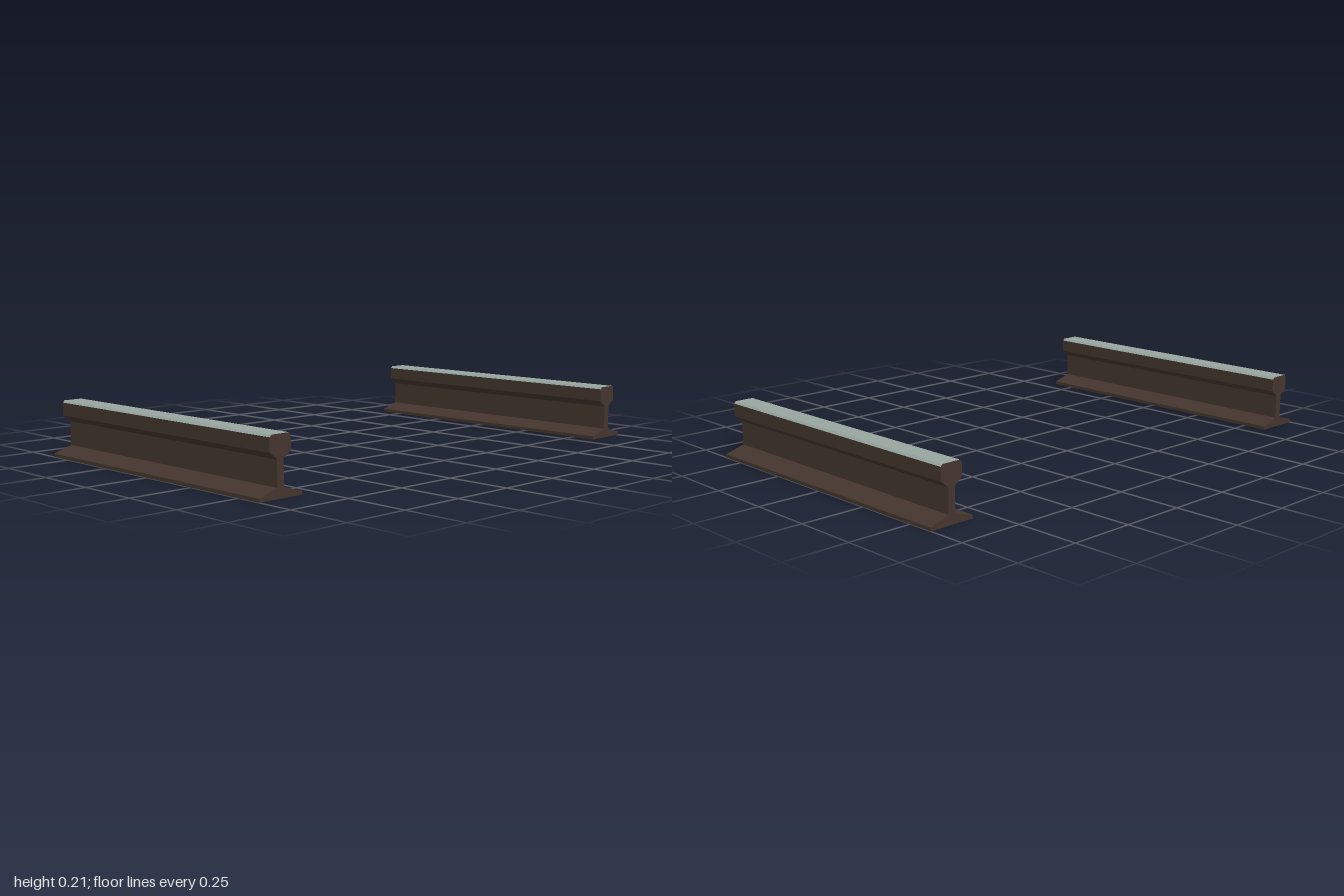
import * as THREE from 'three';

const LENGTH = 1.2;
const RAIL_Z = 0.908;

// Right half of the rail cross-section, from the foot up to the crown
const RIGHT_SIDE = [
  [0.092, 0], [0.092, 0.013], [0.014, 0.037],
  [0.014, 0.13], [0.045, 0.155], [0.045, 0.205], [0.037, 0.213],
];
const CROWN_EDGES = 3;

function railGeometry() {
  const leftSide = RIGHT_SIDE.map(([u, v]) => [-u, v]).reverse();
  // Start at the right crown chamfer, so the crown is the first three edges
  const outline = [...RIGHT_SIDE.slice(-2), ...leftSide, ...RIGHT_SIDE.slice(0, -2)];
  const shape = new THREE.Shape(outline.map(([u, v]) => new THREE.Vector2(u, v)));
  const geometry = new THREE.ExtrudeGeometry(shape, { depth: LENGTH, bevelEnabled: false, steps: 1 });
  geometry.translate(0, 0, -LENGTH / 2);
  geometry.rotateY(Math.PI / 2);

  // Polished crown walls first, then the rusty remainder
  const [caps, walls] = geometry.groups;
  const crownCount = CROWN_EDGES * 6;
  geometry.clearGroups();
  geometry.addGroup(caps.start, caps.count, 0);
  geometry.addGroup(walls.start, crownCount, 1);
  geometry.addGroup(walls.start + crownCount, walls.count - crownCount, 0);
  return geometry;
}

export function createModel() {
  const rust = new THREE.MeshStandardMaterial({ color: 0x45362e });
  rust.name = 'rustyIron';
  const steel = new THREE.MeshStandardMaterial({ color: 0x98a6a0 });
  steel.name = 'polishedSteel';

  const model = new THREE.Group();
  model.name = 'railPair';
  const geometry = railGeometry();
  for (const [name, side] of [['frontRail', 1], ['backRail', -1]]) {
    const rail = new THREE.Mesh(geometry, [rust, steel]);
    rail.name = name;
    rail.position.z = side * RAIL_Z;
    model.add(rail);
  }
  return model;
}
